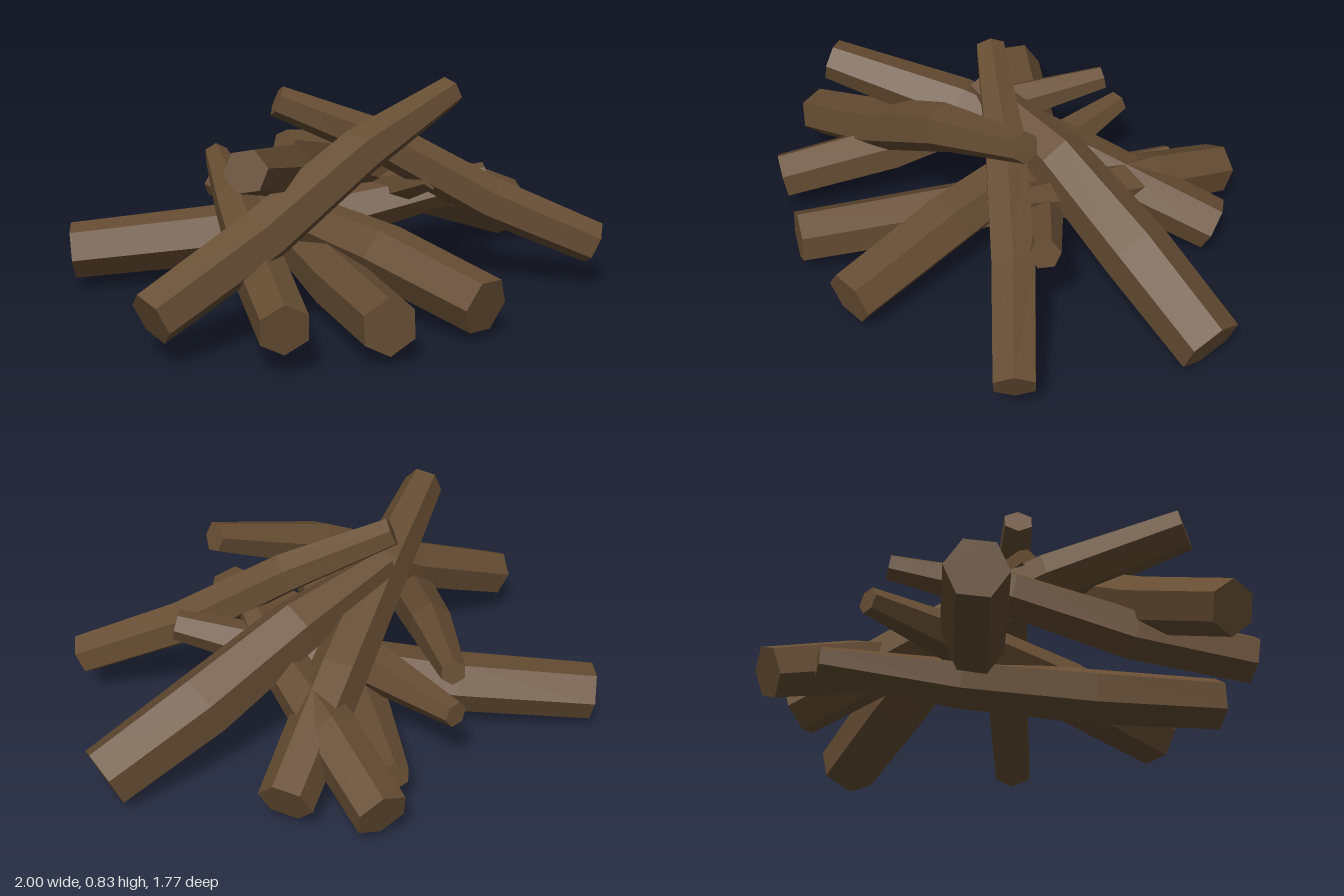
import * as THREE from 'three';

const SIDES = 6;
const STEPS = 3;
const bark = new THREE.MeshStandardMaterial({ color: 0x664d33, flatShading: true });

// Six-sided tapering log. thick and thin are the end centres, radii their sizes,
// lift raises the two inner sections and bow shifts them along z.
function makeLog(name, thick, thin, radii, lift, bow, roll) {
  const start = new THREE.Vector3(...thick);
  const end = new THREE.Vector3(...thin);
  const centres = [];
  for (let i = 0; i <= STEPS; i++) {
    const c = start.clone().lerp(end, i / STEPS);
    if (i > 0 && i < STEPS) c.add(new THREE.Vector3(0, lift[i - 1], bow));
    centres.push(c);
  }

  const up = new THREE.Vector3(0, 1, 0);
  const positions = [];
  const index = [];
  centres.forEach((centre, i) => {
    const t = i / STEPS;
    const radius = THREE.MathUtils.lerp(radii[0], radii[1], t ** 3) * (1 + 0.1 * Math.sin(Math.PI * t));
    const axis = centres[Math.min(i + 1, STEPS)].clone().sub(centres[Math.max(i - 1, 0)]).normalize();
    const side = new THREE.Vector3().crossVectors(up, axis).normalize();
    const top = new THREE.Vector3().crossVectors(axis, side);
    for (let k = 0; k < SIDES; k++) {
      const a = roll + (k / SIDES) * Math.PI * 2;
      const p = centre.clone()
        .addScaledVector(side, Math.cos(a) * radius)
        .addScaledVector(top, Math.sin(a) * radius);
      positions.push(p.x, p.y, p.z);
    }
  });

  // Bark faces between neighbouring sections
  for (let i = 0; i < STEPS; i++) {
    for (let k = 0; k < SIDES; k++) {
      const a = i * SIDES + k;
      const b = i * SIDES + ((k + 1) % SIDES);
      index.push(a, b, b + SIDES, a, b + SIDES, a + SIDES);
    }
  }

  // Sawn ends
  const last = STEPS * SIDES;
  for (let k = 1; k < SIDES - 1; k++) {
    index.push(0, k + 1, k);
    index.push(last, last + k, last + k + 1);
  }

  const indexed = new THREE.BufferGeometry();
  indexed.setAttribute('position', new THREE.Float32BufferAttribute(positions, 3));
  indexed.setIndex(index);
  const geometry = indexed.toNonIndexed();
  geometry.computeVertexNormals();
  const mesh = new THREE.Mesh(geometry, bark);
  mesh.name = name;
  return mesh;
}

export function createModel() {
  const pile = new THREE.Group();
  pile.name = 'logPile';

  // Upper logs leaning across the pile
  pile.add(
    makeLog('frontLeaningLog', [-0.87, 0.18, 0.6], [0.43, 0.78, 0.125], [0.1, 0.06], [-0.01, 0.03], 0, 0.3),
    makeLog('leftLeaningLog', [0.955, 0.18, 0.35], [-0.24, 0.77, 0.03], [0.085, 0.06], [-0.015, 0.025], -0.03, 0.5),
    makeLog('backLeaningLog', [0.95, 0.125, -0.4], [-0.23, 0.61, 0.08], [0.125, 0.06], [0.01, 0.035], -0.025, 0.5),
    makeLog('diagonalLog', [0.335, 0.13, -0.7], [-0.53, 0.66, 0.595], [0.105, 0.08], [0.035, 0.05], 0, 0.2),
  );

  // Lower logs radiating outwards
  pile.add(
    makeLog('rightLog', [-0.97, 0.155, -0.325], [0.6, 0.42, 0.11], [0.11, 0.06], [-0.045, -0.045], -0.02, 0.1),
    makeLog('backLog', [0.02, 0.145, -0.86], [0.32, 0.465, 0.21], [0.105, 0.045], [0, -0.025], 0, 0.4),
    makeLog('frontRightLog', [-0.48, 0.18, 0.85], [-0.34, 0.45, -0.49], [0.095, 0.05], [-0.02, 0.015], 0, 0.5),
    makeLog('frontLog', [-0.115, 0.15, 0.87], [-0.07, 0.17, -0.69], [0.105, 0.06], [-0.025, -0.03], 0, 0.5),
    makeLog('frontLeftLog', [0.29, 0.14, 0.77], [-0.335, 0.31, -0.56], [0.11, 0.05], [0.025, 0.015], 0, 0.1),
  );
  return pile;
}
